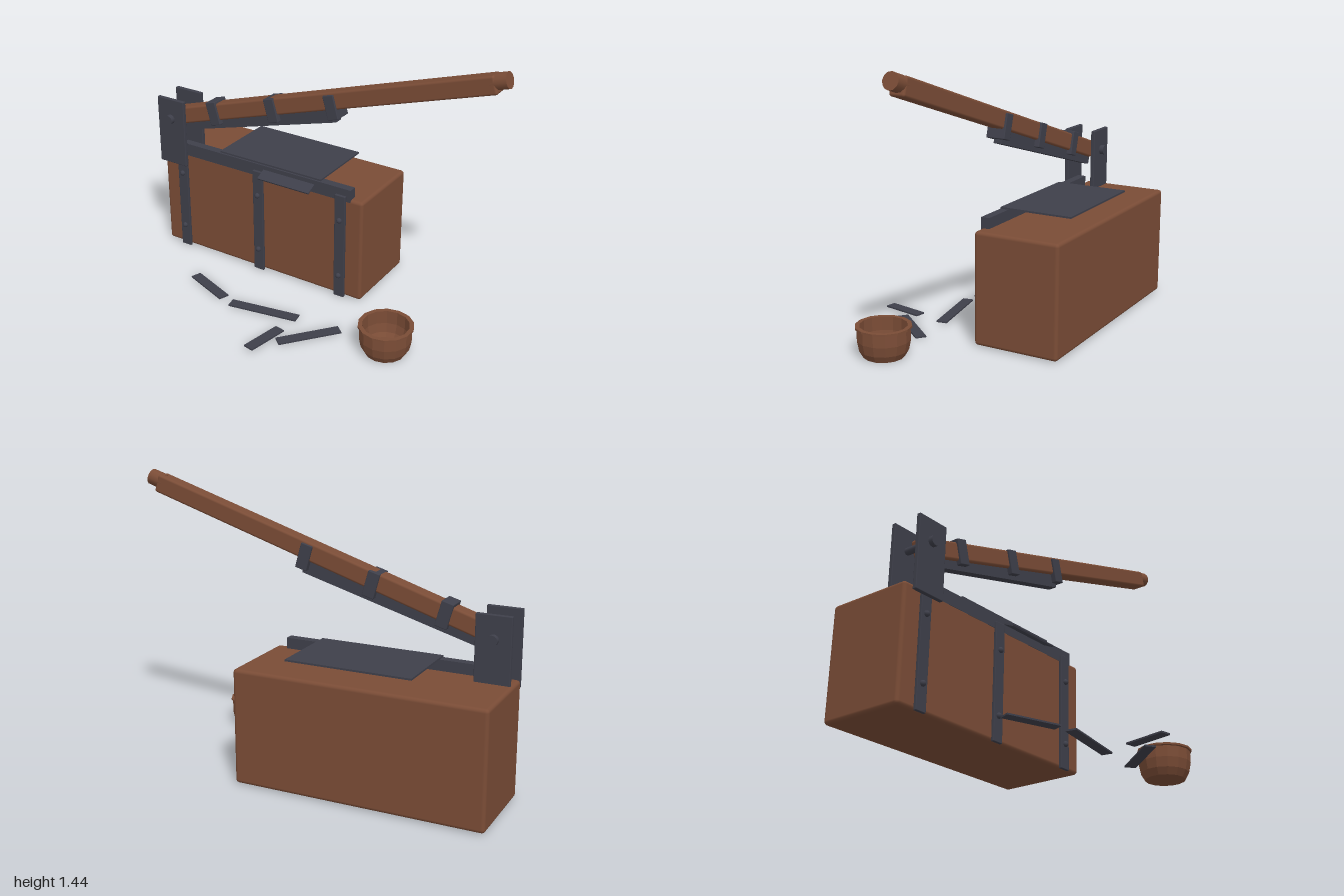
import * as THREE from 'three';
import { RoundedBoxGeometry } from 'three/addons/geometries/RoundedBoxGeometry.js';

const wood = new THREE.MeshStandardMaterial({ color: 0x7a4c36 });
wood.name = 'wood';
const iron = new THREE.MeshStandardMaterial({ color: 0x3e3f4a });
iron.name = 'iron';
const bowlWood = wood.clone();
bowlWood.name = 'bowlWood';
bowlWood.flatShading = true;
bowlWood.side = THREE.DoubleSide;

export function createModel() {
  const model = new THREE.Group();

  const add = (name, geometry, material, x, y, z, parent = model) => {
    const mesh = new THREE.Mesh(geometry, material);
    mesh.name = name;
    mesh.position.set(x, y, z);
    parent.add(mesh);
    return mesh;
  };
  const box = (w, h, d) => new THREE.BoxGeometry(w, h, d);
  const rounded = (w, h, d, r) => new RoundedBoxGeometry(w, h, d, 2, r);
  const rod = (r, length, sides = 16) => new THREE.CylinderGeometry(r, r, length, sides);

  // Heavy wooden base block
  add('baseBlock', rounded(1.27, 0.58, 0.455, 0.018), wood, -0.365, 0.295, -0.3425);

  // Front straps with rivets
  for (const x of [-0.87, -0.365, 0.145]) {
    add('strap', rounded(0.062, 0.6, 0.016, 0.003), iron, x, 0.302, -0.108);
    for (const y of [0.13, 0.46]) {
      add('rivet', new THREE.SphereGeometry(0.015, 12, 8), iron, x, y, -0.098);
    }
  }

  // Fixed lower blade along the front edge
  add('lowerBlade', box(1.07, 0.07, 0.045), iron, -0.335, 0.605, -0.137);

  // Sheet waiting to be cut, and the piece hanging off the edge
  add('sheet', box(0.638, 0.009, 0.39), iron, -0.3, 0.647, -0.315);
  add('hangingPiece', box(0.318, 0.008, 0.065), iron, -0.172, 0.603, -0.082).rotation.x = 0.42;

  // Hinge cheeks, pin and bolt heads
  for (const z of [-0.07, -0.227]) {
    add('hingeCheek', rounded(0.174, 0.38, 0.022, 0.004), iron, -0.898, 0.72, z);
  }
  add('hingePin', rod(0.018, 0.2), iron, -0.9, 0.795, -0.148).rotation.x = Math.PI / 2;
  for (const z of [-0.047, -0.25]) {
    add('hingeBoltHead', rod(0.026, 0.024), iron, -0.9, 0.795, z).rotation.x = Math.PI / 2;
  }

  // Raised lever, built along its own x axis from the hinge
  const lever = new THREE.Group();
  lever.name = 'lever';
  lever.position.set(-0.9, 0.792, -0.15);
  lever.rotation.z = 0.307;
  model.add(lever);
  add('leverBeam', rounded(1.915, 0.092, 0.08, 0.012), wood, 0.9625, 0, 0, lever);
  add('leverTip', rod(0.041, 0.085, 12), wood, 1.933, 0.009, 0, lever).rotation.z = Math.PI / 2;

  // Upper blade: a tapered plate under the beam
  const bladeShape = new THREE.Shape([
    new THREE.Vector2(0, -0.085), new THREE.Vector2(1.015, -0.115),
    new THREE.Vector2(1.02, -0.085), new THREE.Vector2(1.0, -0.02), new THREE.Vector2(0, -0.02),
  ]);
  const bladeGeometry = new THREE.ExtrudeGeometry(bladeShape, { depth: 0.045, bevelEnabled: false });
  add('upperBlade', bladeGeometry, iron, 0, 0, -0.0225, lever);

  // Bands holding the blade to the beam
  for (const [s, t] of [[0.265, -0.004], [0.65, -0.018], [1.02, -0.03]]) {
    add('band', rounded(0.062, 0.128, 0.1, 0.004), iron, s, t, 0, lever).rotation.z = -0.03;
  }

  // Cut strips lying on the ground: x, y, z, length, turn
  const strips = [
    [-0.486, 0.005, 0.192, 0.275, -0.35],
    [-0.108, 0.005, 0.23, 0.38, 0.175],
    [0.21, 0.005, 0.295, 0.33, 0.88],
    [0.045, 0.017, 0.448, 0.225, 1.385],
  ];
  for (const [x, y, z, length, turn] of strips) {
    add('cutStrip', box(length, 0.008, 0.056), iron, x, y, z).rotation.y = turn;
  }

  // Hollow faceted bowl with a flared lip
  const bowlProfile = [
    [0, 0], [0.102, 0], [0.122, 0.035], [0.132, 0.085], [0.131, 0.142], [0.139, 0.145],
    [0.139, 0.155], [0.117, 0.155], [0.116, 0.085], [0.104, 0.04], [0.088, 0.02], [0, 0.02],
  ].map(([r, y]) => new THREE.Vector2(r, y));
  add('bowl', new THREE.LatheGeometry(bowlProfile, 14), bowlWood, 0.592, 0, 0.195);

  return model;
}
